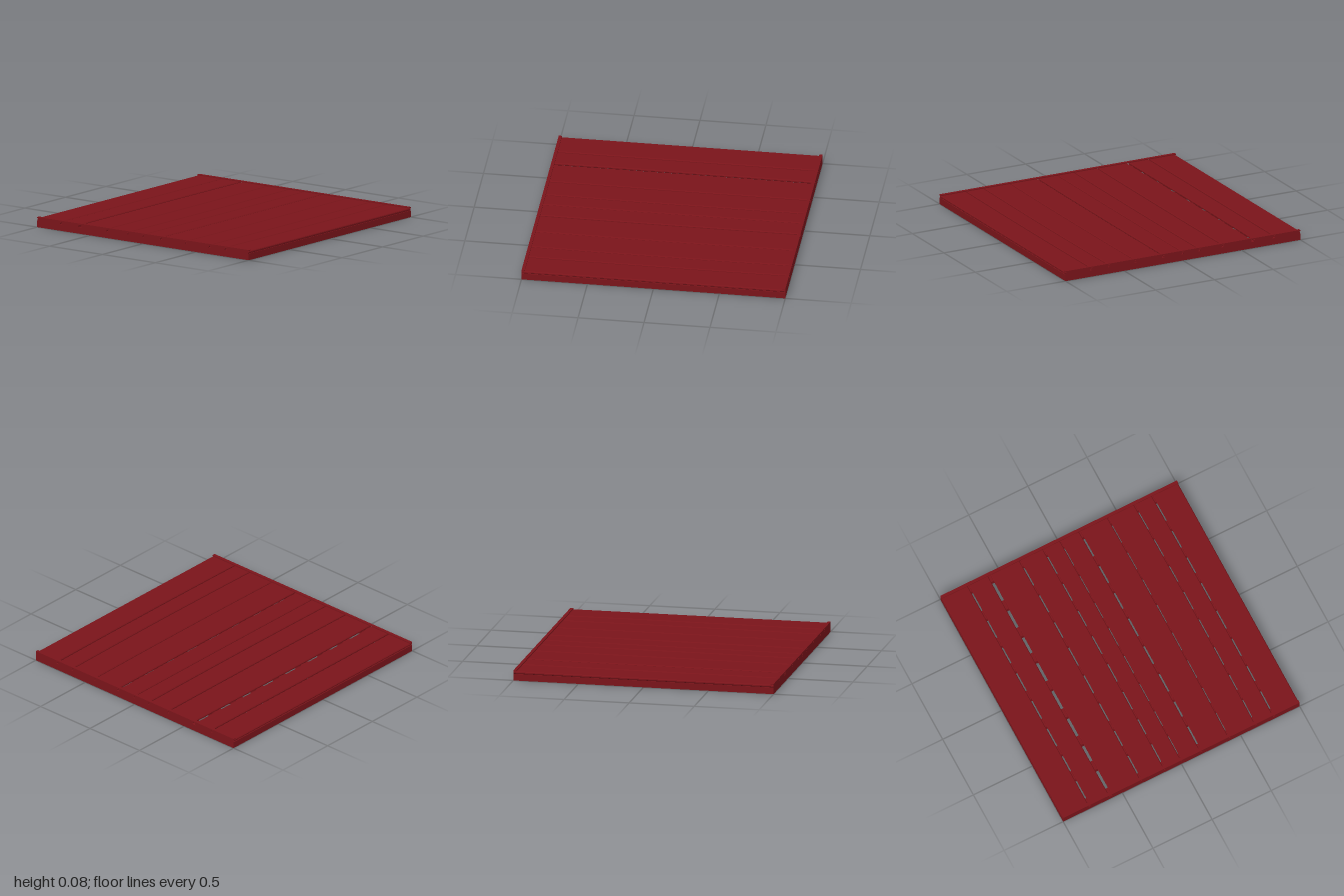
import * as THREE from 'three';

const FLOOR_Y = 0.05, TOP_Y = 0.07, CHAMFER = 0.006;
const material = new THREE.MeshStandardMaterial({ color: 0x7a141a, flatShading: true });

// Gaps between boards: centre z, clear width, sideways bow at mid length
const gaps = [
  [-0.775, 0.012, 0], [-0.597, 0.022, -0.004], [-0.338, 0.011, 0.004],
  [-0.14, 0.01, 0.006], [0.003, 0.007, 0.003], [0.168, 0.014, 0.005],
  [0.405, 0.007, 0.007], [0.63, 0.009, 0.009], [0.782, 0.011, 0.006],
];

function addBox(group, name, w, h, d, x, y, z) {
  const mesh = new THREE.Mesh(new THREE.BoxGeometry(w, h, d), material);
  mesh.name = name;
  mesh.position.set(x, y, z);
  group.add(mesh);
}

// Chamfered board running along x, its long edges bowed slightly along z
function boardGeometry(z0, z1, bow0, bow1) {
  const c = CHAMFER, y0 = FLOOR_Y, y1 = TOP_Y;
  const section = new THREE.Shape([
    [z0 + c, y0], [z1 - c, y0], [z1, y0 + c], [z1, y1 - c],
    [z1 - c, y1], [z0 + c, y1], [z0, y1 - c], [z0, y0 + c],
  ].map(([z, y]) => new THREE.Vector2(-z, y)));
  const geo = new THREE.ExtrudeGeometry(section, { depth: 2, steps: 12, bevelEnabled: false });
  geo.translate(0, 0, -1).rotateY(Math.PI / 2);
  const p = geo.attributes.position;
  for (let i = 0; i < p.count; i++) {
    const t = (p.getZ(i) - z0) / (z1 - z0);
    p.setZ(i, p.getZ(i) + THREE.MathUtils.lerp(bow0, bow1, t) * (1 - p.getX(i) ** 2));
  }
  geo.computeVertexNormals();
  return geo;
}

export function createModel() {
  const model = new THREE.Group();
  model.name = 'plankPlatform';

  // Boards between successive gaps
  const boards = new THREE.Group();
  boards.name = 'boards';
  const edges = [[-0.998, 0, 0], ...gaps, [0.998, 0, 0]];
  for (let i = 0; i < edges.length - 1; i++) {
    const [a, wa, ba] = edges[i], [b, wb, bb] = edges[i + 1];
    const board = new THREE.Mesh(boardGeometry(a + wa / 2, b - wb / 2, ba, bb), material);
    board.name = 'board';
    boards.add(board);
  }
  model.add(boards);

  // Frame below and thin trim on top of the two board ends
  const rail = 0.07;
  for (const s of [-1, 1]) {
    addBox(model, 'sideRail', rail, FLOOR_Y, 2, s * (1 - rail / 2), FLOOR_Y / 2, 0);
    addBox(model, 'endRail', 2 - 2 * rail, FLOOR_Y, rail, 0, FLOOR_Y / 2, s * (1 - rail / 2));
    addBox(model, 'topTrim', 0.024, 0.008, 2, s * 0.988, TOP_Y + 0.004, 0);
  }

  // Joists under the boards
  for (const x of [-0.722, -0.497, -0.25, 0, 0.25, 0.48, 0.722])
    addBox(model, 'joist', 0.076, FLOOR_Y, 2 - 2 * rail, x, FLOOR_Y / 2, 0);

  return model;
}
